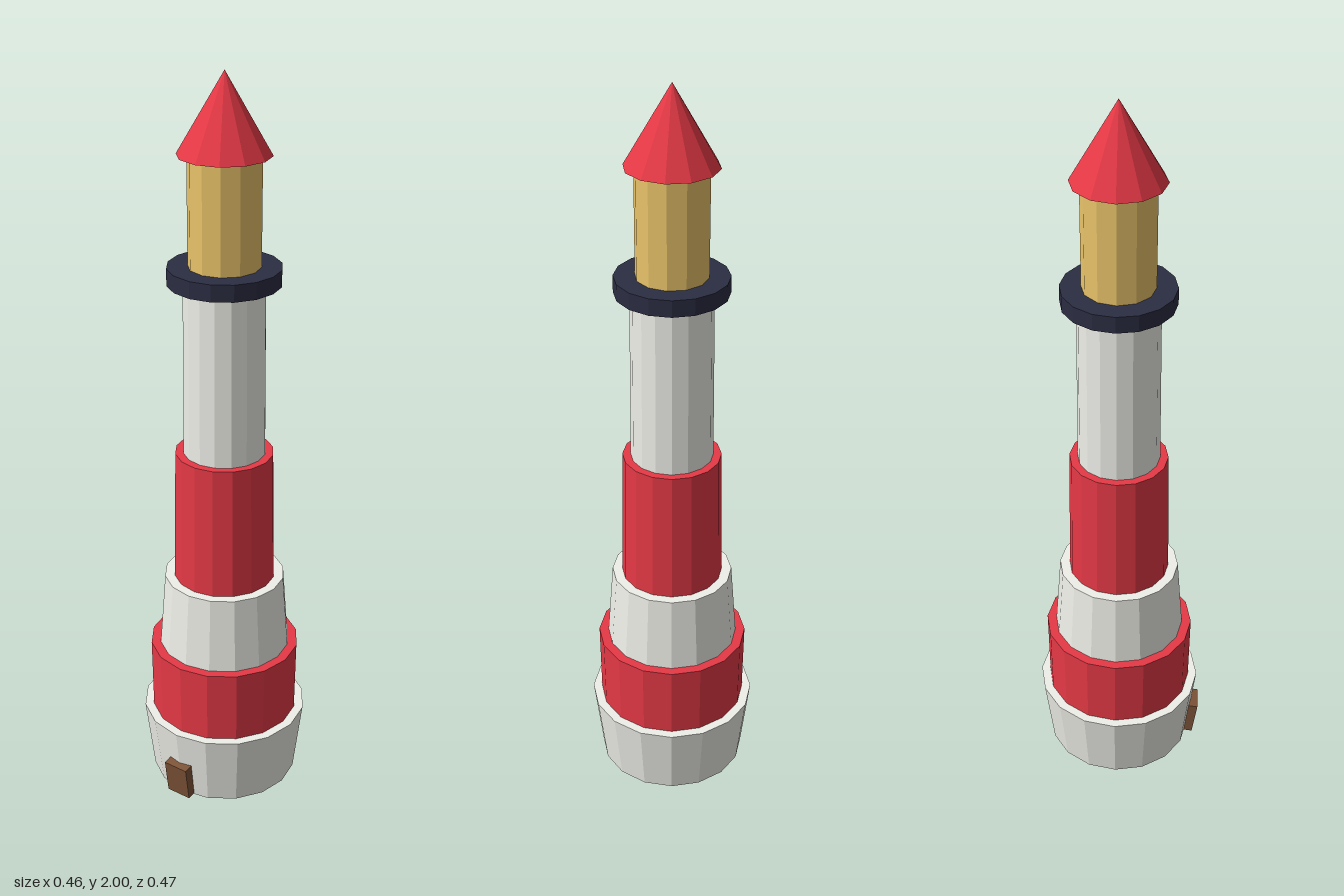
import * as THREE from 'three';

const material = (color) => new THREE.MeshStandardMaterial({ color, flatShading: true });

export function createModel() {
  const group = new THREE.Group();
  const white = material(0xf0f0ea);
  const red = material(0xe63946);
  const navy = material(0x2b2d42);
  const amber = material(0xe9c46a);
  const brown = material(0x7f5539);
  const axisZ = -0.002; // tower axis, set back slightly to balance the door

  // Stacked round sections: name, bottom radius, top radius, bottom y, top y, sides, material
  const sections = [
    ['base', 0.204, 0.229, 0, 0.207, 16, white],
    ['lowerRedBand', 0.204, 0.207, 0.207, 0.414, 16, red],
    ['middleWhiteBand', 0.181, 0.165, 0.414, 0.626, 16, white],
    ['upperRedBand', 0.138, 0.132, 0.626, 0.997, 16, red],
    ['upperShaft', 0.11, 0.107, 0.997, 1.467, 16, white],
    ['gallery', 0.148, 0.148, 1.467, 1.512, 16, navy],
    ['lanternRoom', 0.094, 0.094, 1.512, 1.795, 12, amber],
    ['roof', 0.12, 0, 1.795, 2, 12, red],
  ];
  for (const [name, bottom, top, y0, y1, sides, mat] of sections) {
    const geometry = top > 0
      ? new THREE.CylinderGeometry(top, bottom, y1 - y0, sides)
      : new THREE.ConeGeometry(bottom, y1 - y0, sides);
    const mesh = new THREE.Mesh(geometry, mat);
    mesh.name = name;
    mesh.position.set(0, (y0 + y1) / 2, axisZ);
    group.add(mesh);
  }

  // Door leaning out with the flared base wall
  const door = new THREE.Mesh(new THREE.BoxGeometry(0.073, 0.103, 0.03), brown);
  door.name = 'door';
  door.position.set(0, 0.054, 0.212);
  door.rotation.x = 0.14;
  group.add(door);

  return group;
}
